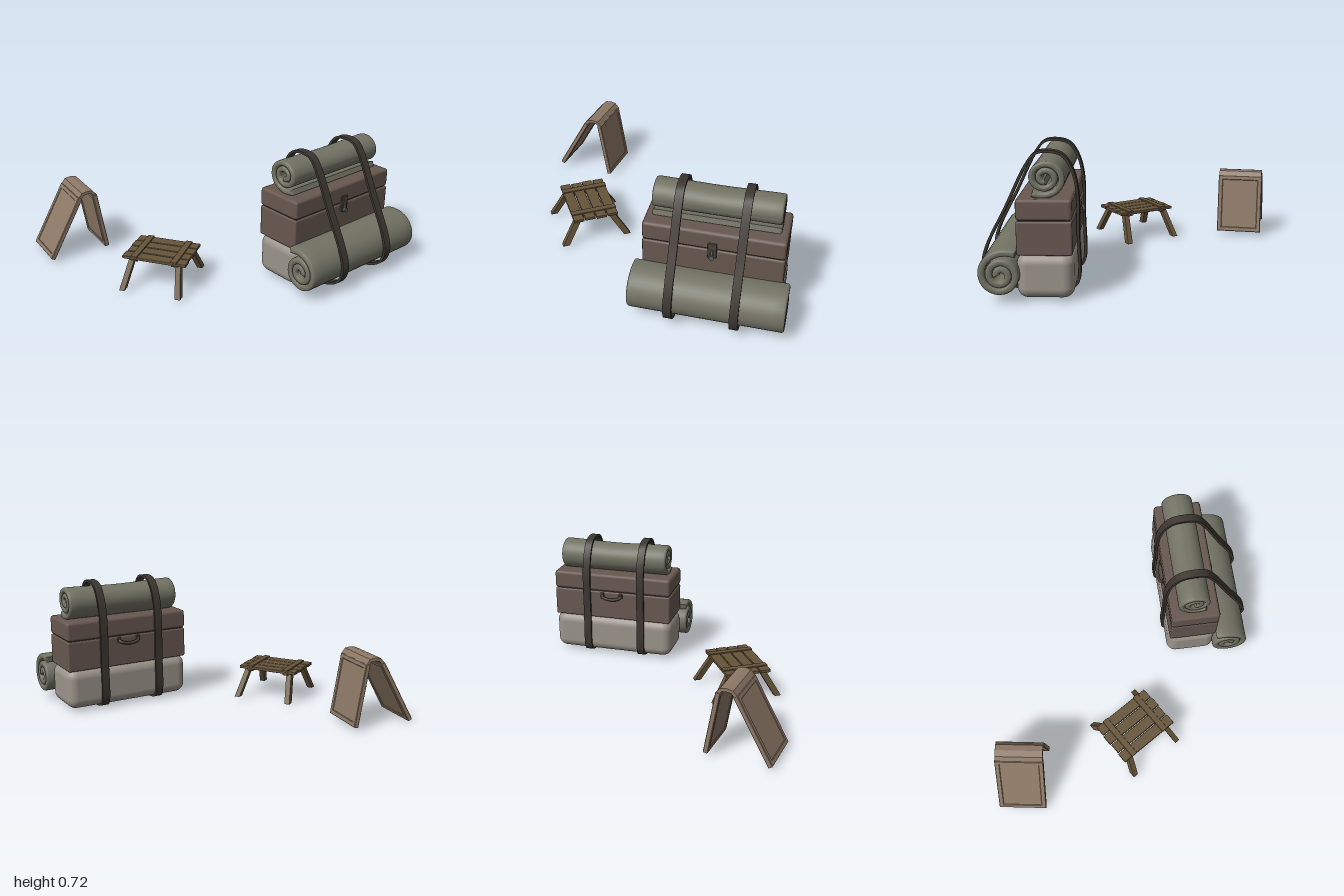
import * as THREE from 'three';
import { toCreasedNormals } from 'three/addons/utils/BufferGeometryUtils.js';
import { RoundedBoxGeometry } from 'three/addons/geometries/RoundedBoxGeometry.js';

const mat = (color) => new THREE.MeshStandardMaterial({ color });
const cloth = mat(0x727364), canvas = mat(0x9b948a), leather = mat(0x685850), strapMat = mat(0x3c3630);
const metal = mat(0x5c6064), plateMat = mat(0x4c423b), wood = mat(0x67543a), board = mat(0x8d7866);

function add(parent, name, geometry, material, x = 0, y = 0, z = 0) {
  const mesh = new THREE.Mesh(geometry, material);
  mesh.name = name;
  mesh.position.set(x, y, z);
  parent.add(mesh);
  return mesh;
}

// Outline of a strip of thickness t that follows a 2D path
function band(points, t, closed = false) {
  const n = points.length;
  const side = (s) => points.map((p, i) => {
    const a = points[closed ? (i + n - 1) % n : Math.max(i - 1, 0)];
    const b = points[closed ? (i + 1) % n : Math.min(i + 1, n - 1)];
    const d = b.clone().sub(a).normalize();
    return new THREE.Vector2(p.x - d.y * s * t / 2, p.y + d.x * s * t / 2);
  });
  if (!closed) return new THREE.Shape([...side(1), ...side(-1).reverse()]);
  const shape = new THREE.Shape(side(-1));
  shape.holes.push(new THREE.Path(side(1)));
  return shape;
}

// Extrude along z, centred
function slab(shape, depth, bevel = 0, steps = 1, bevelSegments = 1) {
  const g = new THREE.ExtrudeGeometry(shape, {
    depth: depth - 2 * bevel, steps, bevelEnabled: bevel > 0,
    bevelThickness: bevel, bevelSize: bevel, bevelOffset: -bevel, bevelSegments,
  });
  return g.translate(0, 0, bevel - depth / 2);
}

// Rolled blanket: a spiral strip whose loose end lifts off at startAngle
function blanketRoll(radius, thick, pitch, length, startAngle, flare, widen, sag) {
  const turns = (radius - 0.018) / pitch, pts = [];
  const count = 76;
  for (let i = 0; i <= count; i++) {
    const t = turns * i / count;
    const r = radius - pitch * t + flare * Math.exp(-t * 10);
    const a = startAngle - t * Math.PI * 2;
    pts.push(new THREE.Vector2(Math.cos(a) * r * widen, Math.sin(a) * r));
  }
  const g = slab(band(pts, thick), length, 0.012, 16, 3);
  const pos = g.attributes.position;
  for (let i = 0; i < pos.count; i++) {
    const k = pos.getZ(i) / (length / 2);
    if (pos.getY(i) > 0) pos.setY(i, pos.getY(i) * (1 - sag * Math.cos(k * Math.PI / 2) ** 2));
  }
  return toCreasedNormals(g, 0.7);
}

function createPack() {
  const pack = new THREE.Group();
  pack.name = 'pack';
  add(pack, 'baseCushion', new RoundedBoxGeometry(0.28, 0.228, 0.735, 5, 0.055), canvas, 0, 0.126, 0);

  // Chest
  add(pack, 'chestBody', new RoundedBoxGeometry(0.27, 0.17, 0.727, 1, 0.01), leather, 0, 0.319, 0);
  add(pack, 'chestSeam', new THREE.BoxGeometry(0.25, 0.03, 0.705), plateMat, 0, 0.404, 0);
  add(pack, 'chestLid', new RoundedBoxGeometry(0.272, 0.105, 0.729, 1, 0.016), leather, 0, 0.459, 0);
  add(pack, 'latchPlate', new RoundedBoxGeometry(0.016, 0.09, 0.046, 1, 0.004), plateMat, 0.137, 0.405, 0);
  add(pack, 'latchTongue', new RoundedBoxGeometry(0.014, 0.045, 0.014, 1, 0.004), metal, 0.147, 0.392, 0);
  add(pack, 'latchKnob', new THREE.CylinderGeometry(0.013, 0.013, 0.018, 12).rotateZ(Math.PI / 2), metal, 0.15, 0.37, 0);
  const grip = new THREE.CatmullRomCurve3([
    [-0.132, 0.385, -0.06], [-0.152, 0.375, -0.052], [-0.158, 0.365, 0], [-0.152, 0.375, 0.052], [-0.132, 0.385, 0.06],
  ].map((p) => new THREE.Vector3(...p)));
  add(pack, 'handle', new THREE.TubeGeometry(grip, 20, 0.009, 8), plateMat);
  for (const s of [-1, 1]) {
    add(pack, 'handleMount', new RoundedBoxGeometry(0.014, 0.03, 0.022, 1, 0.004), plateMat, -0.136, 0.385, s * 0.058);
  }

  // Blankets above and in front
  add(pack, 'topRoll', blanketRoll(0.085, 0.03, 0.0315, 0.655, -0.9, 0.012, 1.08, 0.1), cloth, -0.005, 0.607, 0);
  add(pack, 'frontRoll', blanketRoll(0.103, 0.034, 0.0355, 0.805, 2.2, 0.026, 1, 0.02), cloth, 0.211, 0.146, 0);

  // Straps around the whole load
  const loop = new THREE.CatmullRomCurve3([
    [-0.147, 0.06], [-0.145, 0.28], [-0.144, 0.5], [-0.118, 0.62], [-0.07, 0.69], [0, 0.708], [0.06, 0.697],
    [0.108, 0.64], [0.215, 0.425], [0.318, 0.22], [0.335, 0.14], [0.31, 0.07], [0.24, 0.026], [0.1, 0.007],
    [-0.08, 0.007], [-0.13, 0.024],
  ].map(([x, y]) => new THREE.Vector3(x, y, 0)), true);
  const path = loop.getPoints(80).slice(0, -1).map((p) => new THREE.Vector2(p.x, p.y)).reverse();
  if (!THREE.ShapeUtils.isClockWise(path)) path.reverse();
  path.reverse();
  for (const z of [0.183, -0.154]) {
    add(pack, 'strap', toCreasedNormals(slab(band(path, 0.014, true), 0.044), 0.6), strapMat, 0, 0, z);
  }
  return pack;
}

function createStool() {
  const stool = new THREE.Group();
  stool.name = 'stool';
  for (let i = 0; i < 4; i++) {
    add(stool, 'plank', new RoundedBoxGeometry(0.352 + (i % 2) * 0.008, 0.017, 0.06, 1, 0.003), wood,
      0, 0.174, (i - 1.5) * 0.0655);
  }
  for (const x of [-0.112, 0.112]) {
    add(stool, 'topBatten', new RoundedBoxGeometry(0.036, 0.012, 0.262, 1, 0.003), wood, x, 0.183, 0);
    add(stool, 'underBatten', new RoundedBoxGeometry(0.036, 0.014, 0.24, 1, 0.003), wood, x, 0.161, 0);
    // Splayed legs, sheared so that the feet stay level
    for (const s of [-1, 1]) {
      const leg = new THREE.BoxGeometry(0.03, 0.155, 0.038);
      const pos = leg.attributes.position;
      for (let i = 0; i < pos.count; i++) {
        const k = 0.5 - pos.getY(i) / 0.155;
        pos.setX(i, pos.getX(i) + Math.sign(x) * 0.028 * k);
        pos.setZ(i, pos.getZ(i) + s * 0.09 * k);
      }
      leg.computeVertexNormals();
      add(stool, 'leg', leg, wood, Math.sign(x) * 0.13, 0.0875, s * 0.092);
    }
  }
  return stool;
}

// Two hinged boards standing as a tent, leaning unevenly
function createFoldedBoards() {
  const tent = new THREE.Group();
  tent.name = 'foldedBoards';
  const width = 0.264, thick = 0.018;
  const profile = [[0.235, 0.016], [0.046, 0.352], [0.03, 0.373], [0, 0.378], [-0.028, 0.374], [-0.042, 0.355], [-0.1, 0.016]]
    .map((p) => new THREE.Vector2(...p));
  add(tent, 'cover', slab(band(profile, thick), width - 0.006).rotateY(-Math.PI / 2), board);

  // Raised borders on both boards
  const frame = (name, foot, top) => {
    const d = top.clone().sub(foot), h = d.length(), w = width / 2, b = 0.026;
    const rect = (C, x, y) => new C([[-x, -y], [x, -y], [x, y], [-x, y]].map((p) => new THREE.Vector2(...p)));
    const shape = rect(THREE.Shape, w, h / 2);
    shape.holes.push(rect(THREE.Path, w - b, h / 2 - b));
    const mesh = add(tent, name, slab(shape, thick + 0.008, 0.003), board,
      0, (foot.y + top.y) / 2, (foot.x + top.x) / 2);
    mesh.rotation.x = Math.atan2(d.x, d.y);
  };
  frame('frontBorder', profile[0], profile[1]);
  frame('backBorder', profile[6], profile[5]);
  return tent;
}

export function createModel() {
  const model = new THREE.Group();
  model.name = 'campSet';
  const place = (part, x, z, turn) => {
    part.position.set(x, 0, z);
    part.rotation.y = turn;
    model.add(part);
  };
  place(createPack(), 0.552, -0.24, -0.353);
  place(createStool(), -0.115, 0.4, 0.21);
  place(createFoldedBoards(), -0.762, 0.28, -0.509);
  return model;
}
